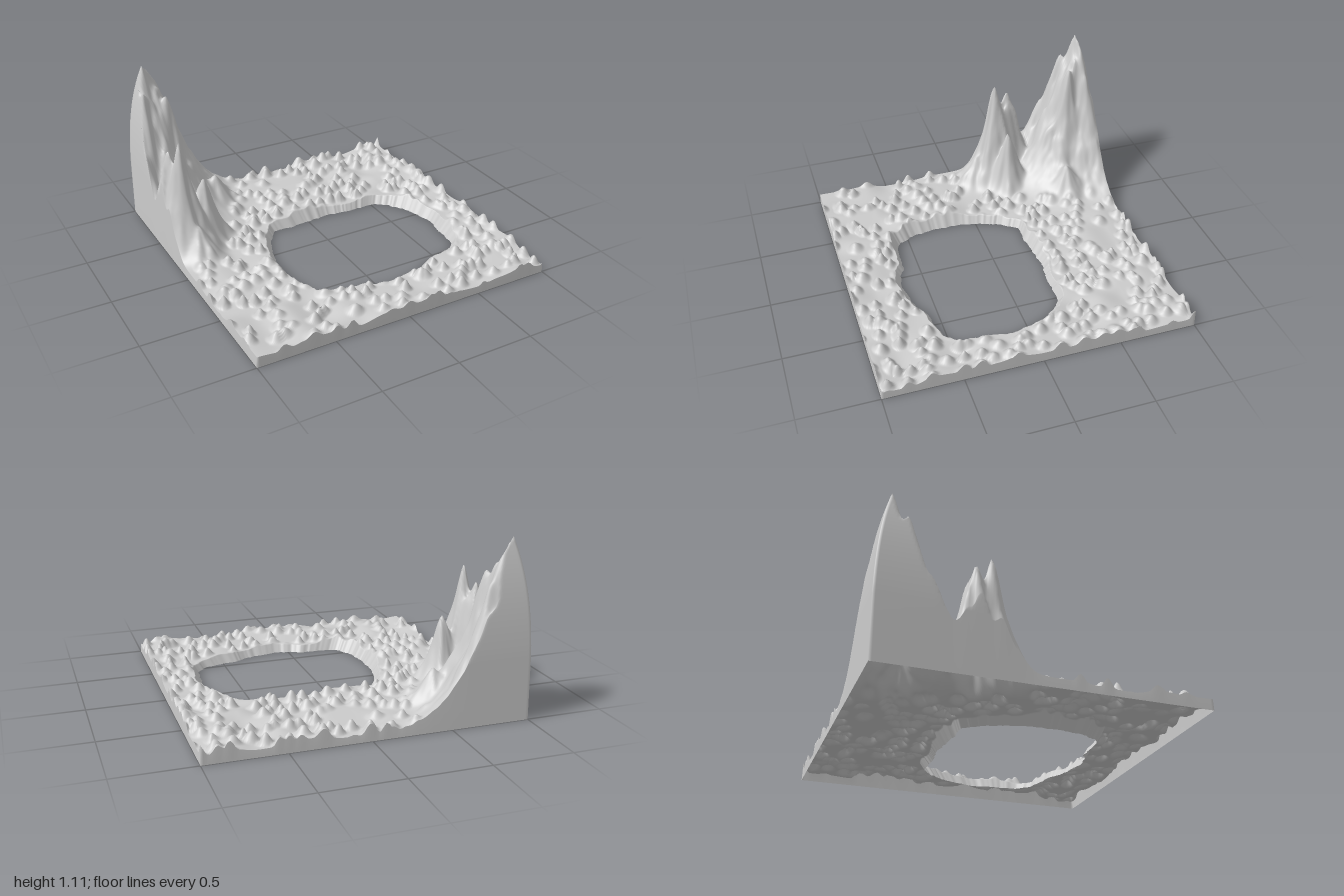
import * as THREE from 'three';

const CX = 0.15, CZ = 0.17;          // middle of the lake opening
const AROUND = 480, ACROSS = 124;    // grid: around the opening, opening to border

// Lake shoreline, as x, z points
const shore = [
  [-0.27, -0.28], [-0.1, -0.27], [0.15, -0.3], [0.3, -0.28], [0.53, -0.27], [0.62, -0.2],
  [0.7, -0.05], [0.74, 0.12], [0.71, 0.35], [0.7, 0.45], [0.63, 0.52], [0.4, 0.57],
  [0.3, 0.62], [0.1, 0.66], [-0.02, 0.64], [-0.08, 0.6], [-0.3, 0.6], [-0.36, 0.56],
  [-0.4, 0.48], [-0.44, 0.3], [-0.43, 0.1], [-0.41, 0], [-0.35, -0.17],
].map(([x, z]) => ({ a: Math.atan2(CZ - z, x - CX), x, z })).sort((p, q) => p.a - q.a);

// Peaks: x, z, height, spread
const peaks = [
  [-0.9, -0.9, 1.08, 0.3], [-0.77, -0.81, 0.8, 0.12],
  [-0.89, -0.3, 0.76, 0.13], [-0.93, -0.41, 0.74, 0.13],
  [-0.73, -0.35, 0.46, 0.11], [-0.5, -0.72, 0.27, 0.13], [-0.85, -0.15, 0.25, 0.13],
];

const hash = (i, j, k = 0) => {
  const s = Math.sin(i * 127.1 + j * 311.7 + k * 74.7) * 43758.5453;
  return s - Math.floor(s);
};

// Smooth value noise in -1..1
function noise(x, z) {
  const i = Math.floor(x), j = Math.floor(z);
  const u = THREE.MathUtils.smoothstep(x - i, 0, 1), v = THREE.MathUtils.smoothstep(z - j, 0, 1);
  const top = THREE.MathUtils.lerp(hash(i, j), hash(i + 1, j), u);
  const bottom = THREE.MathUtils.lerp(hash(i, j + 1), hash(i + 1, j + 1), u);
  return 2 * THREE.MathUtils.lerp(top, bottom, v) - 1;
}

// Hillocks scattered on a jittered grid, 0 between them and up to 1 on top
function hillocks(x, z) {
  const cell = 0.088, ci = Math.floor(x / cell), cj = Math.floor(z / cell);
  let h = 0;
  for (let i = ci - 1; i <= ci + 1; i++) {
    for (let j = cj - 1; j <= cj + 1; j++) {
      if (hash(i, j, 1) > 0.8) continue;
      const px = (i + hash(i, j, 2)) * cell, pz = (j + hash(i, j, 3)) * cell;
      const r = Math.hypot(x - px, z - pz) / (0.044 + 0.022 * hash(i, j, 4));
      if (r < 1) h = Math.max(h, (0.7 + 0.3 * hash(i, j, 5)) * (0.5 + 0.5 * Math.cos(Math.PI * r)));
    }
  }
  return h;
}

function mountains(x, z) {
  let sum = 0;
  peaks.forEach(([px, pz, height, spread], k) => {
    const dx = x - px, dz = z - pz, a = Math.atan2(dz, dx);
    const gully = 1 + 0.06 * Math.sin(5 * a + k) + 0.03 * Math.sin(9 * a + 2 * k);
    const r = Math.hypot(dx, dz) * gully / spread;
    sum += Math.pow(height * Math.exp(-Math.pow(r, 1.5)), 6);
  });
  return Math.pow(sum, 1 / 6);
}

function heightAt(x, z, fromShore) {
  const clear = THREE.MathUtils.smoothstep(fromShore, 0.02, 0.1);
  const floor = 0.062 + 0.022 * noise(x * 6, z * 6);
  const ground = floor + (0.122 - floor) * hillocks(x, z) * clear;
  const m = mountains(x, z);
  const rough = 1 + Math.min(m, 0.3) * 0.3 * (noise(x * 14, z * 14) + 0.5 * noise(x * 30, z * 30));
  const h = Math.pow(Math.pow(ground, 4) + Math.pow(m * rough, 4), 0.25);
  // steep fall at the border, softer slope into the lake
  const fromBorder = 1 - Math.max(Math.abs(x), Math.abs(z));
  if (fromBorder < 1e-6) return 0;
  return Math.min(h, 0.1 + Math.pow(fromBorder / 0.1, 0.32), 1.5 * fromShore);
}

// Shore point in the direction of a border point
function shorePoint(x, z) {
  const dx = x - CX, dz = z - CZ, a = Math.atan2(-dz, dx), n = shore.length;
  let k = shore.findIndex((p) => p.a > a);
  if (k < 0) k = 0;
  const p = shore[(k + n - 1) % n], q = shore[k];
  const ex = q.x - p.x, ez = q.z - p.z;
  let t = ((p.x - CX) * ez - (p.z - CZ) * ex) / (dx * ez - dz * ex);
  t *= 0.992 + 0.012 * noise(a * 14 + 50, 3) + 0.006 * noise(a * 40 + 200, 7);
  return [CX + dx * t, CZ + dz * t];
}

function borderPoint(i) {
  const side = AROUND / 4, s = (i % side) / side * 2 - 1;
  return [[1, -s], [-s, -1], [-1, s], [s, 1]][Math.floor(i / side)];
}

export function createModel() {
  const group = new THREE.Group();
  group.name = 'mountainLandscape';

  // Open-bottomed ground: rings from the shore out to the square border, which drops to the base
  const positions = [], index = [];
  const row = ACROSS + 1;
  for (let i = 0; i < AROUND; i++) {
    const [bx, bz] = borderPoint(i), [sx, sz] = shorePoint(bx, bz);
    const length = Math.hypot(bx - sx, bz - sz);
    const next = (i + 1) % AROUND;
    for (let j = 0; j <= ACROSS; j++) {
      const u = j / ACROSS;
      const t = u - 0.1 * Math.sin(2 * Math.PI * u); // closer rings at both ends
      const x = sx + (bx - sx) * t, z = sz + (bz - sz) * t;
      positions.push(x, heightAt(x, z, length * t), z);
      if (j === ACROSS) continue;
      const a = i * row + j, c = next * row + j;
      index.push(a, a + 1, c, a + 1, c + 1, c);
    }
  }
  const geometry = new THREE.BufferGeometry();
  geometry.setAttribute('position', new THREE.Float32BufferAttribute(positions, 3));
  geometry.setIndex(index);
  geometry.computeVertexNormals();

  const material = new THREE.MeshStandardMaterial({ color: 0xcccccc, side: THREE.DoubleSide });
  const terrain = new THREE.Mesh(geometry, material);
  terrain.name = 'terrain';
  group.add(terrain);
  return group;
}
